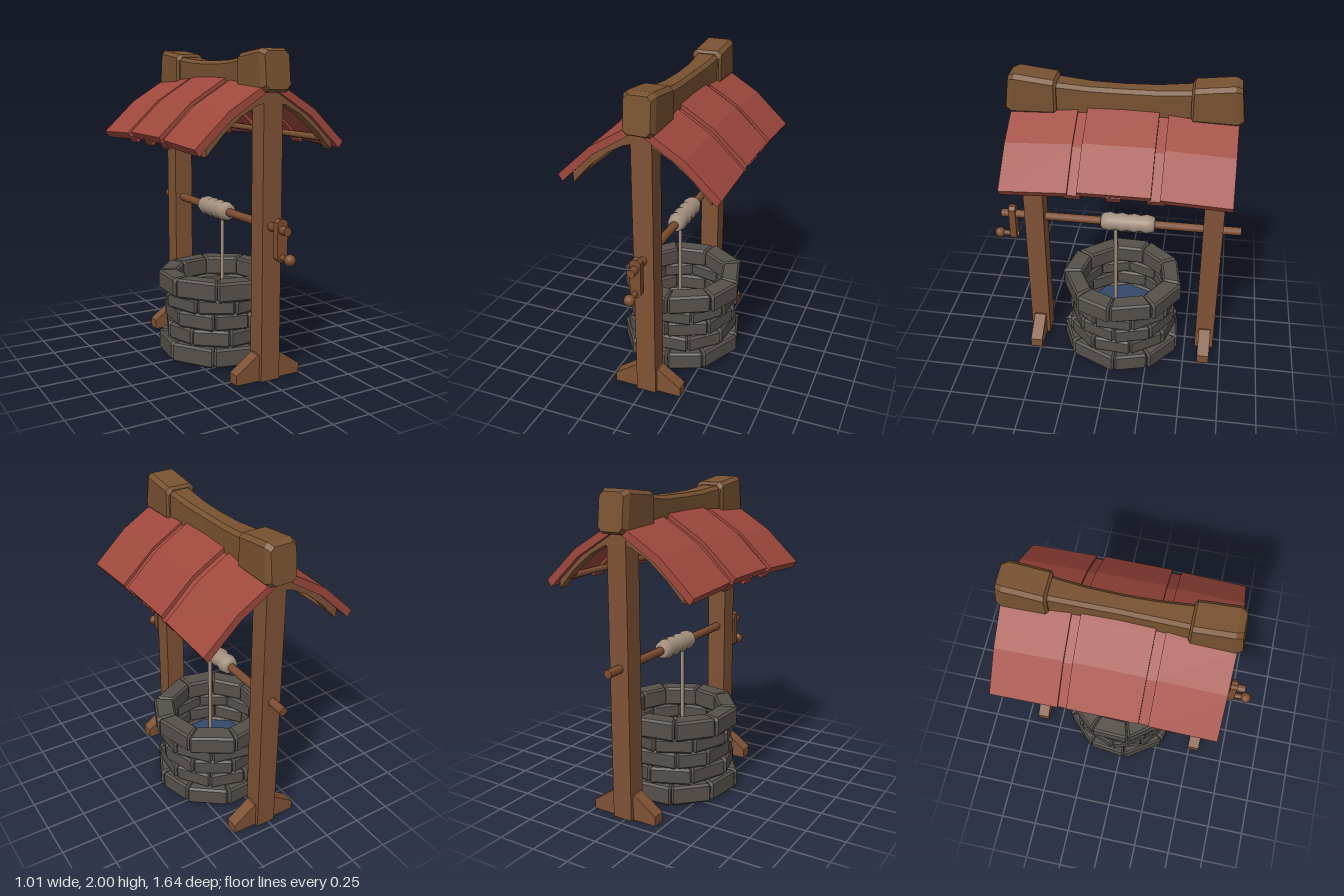
import * as THREE from 'three';

const mat = (name, color) => {
  const m = new THREE.MeshStandardMaterial({ color });
  m.name = name;
  return m;
};

// Chamfered rectangle, counter-clockwise, as [u, v] pairs
const oct = (cx, cy, w, h, c) => [
  [w, -h + c], [w, h - c], [w - c, h], [-w + c, h],
  [-w, h - c], [-w, -h + c], [-w + c, -h], [w - c, -h],
].map(([u, v]) => [cx + u, cy + v]);

// Faceted solid through a list of rings of 3D points, capped at both ends
function loft(rings) {
  const pos = [], n = rings[0].length, last = rings.length - 1;
  const tri = (...pts) => pts.forEach((p) => pos.push(...p));
  for (let i = 0; i < last; i++) {
    for (let j = 0; j < n; j++) {
      const k = (j + 1) % n;
      const a = rings[i][j], b = rings[i][k], c = rings[i + 1][k], d = rings[i + 1][j];
      tri(a, b, c);
      tri(a, c, d);
    }
  }
  for (let j = 1; j < n - 1; j++) {
    tri(rings[0][0], rings[0][j + 1], rings[0][j]);
    tri(rings[last][0], rings[last][j], rings[last][j + 1]);
  }
  const g = new THREE.BufferGeometry();
  g.setAttribute('position', new THREE.Float32BufferAttribute(pos, 3));
  g.computeVertexNormals();
  return g;
}

// Outline in x and y, extruded between two depths
function slab(points, z0, z1) {
  const shape = new THREE.Shape(points.map(([x, y]) => new THREE.Vector2(x, y)));
  return new THREE.ExtrudeGeometry(shape, { depth: z1 - z0, bevelEnabled: false }).translate(0, 0, z0);
}

// Rod along z
const rod = (r, z0, z1, x, y, sides = 12) =>
  new THREE.CylinderGeometry(r, r, z1 - z0, sides).rotateX(Math.PI / 2).translate(x, y, (z0 + z1) / 2);

export function createModel() {
  const wood = mat('wood', 0x7f5235);
  const ridgeWood = mat('ridge wood', 0x785231);
  const crankWood = mat('crank wood', 0x7d4d30);
  const red = mat('roof red', 0x9f483d);
  const stone = mat('stone', 0x57504b);
  const ropeTan = mat('rope', 0xa3907f);
  const blue = mat('water', 0x34496b);

  const model = new THREE.Group();
  model.name = 'well';
  const add = (name, geometry, material, parent = model) => {
    const m = new THREE.Mesh(geometry, material);
    m.name = name;
    parent.add(m);
    return m;
  };
  const group = (name) => {
    const g = new THREE.Group();
    g.name = name;
    model.add(g);
    return g;
  };
  let seed = 7;
  const rand = () => ((seed = (seed * 16807) % 2147483647) / 2147483647) - 0.5;
  const cx = 0.02;

  // Stone wall: five rings of chamfered blocks
  const wall = group('stoneWall');
  wall.position.set(cx, 0, -0.055);
  const rows = [
    [0.005, 0.132, 0.405, 0.1], [0.13, 0.24, 0.372, 0.42], [0.235, 0.345, 0.366, 0.05],
    [0.343, 0.442, 0.372, 0.4], [0.437, 0.565, 0.405, 0.04],
  ];
  const count = 9;
  rows.forEach(([y0, y1, outer, turn]) => {
    const seams = Array.from({ length: count }, (_, i) => turn + ((i + rand() * 0.2) / count) * Math.PI * 2);
    seams.push(seams[0] + Math.PI * 2);
    for (let i = 0; i < count; i++) {
      const r1 = outer + rand() * 0.016, r0 = 0.275;
      const ring = (a, s) => oct((r0 + r1) / 2, (y0 + y1) / 2, (r1 - r0) / 2 - s, (y1 - y0) / 2 - s, 0.014)
        .map(([r, y]) => [r * Math.cos(a), y, r * Math.sin(a)]);
      const a = seams[i], b = seams[i + 1];
      add('stoneBlock', loft([
        ring(a + 0.002, 0.012), ring(a + 0.04, 0), ring(b - 0.04, 0), ring(b - 0.002, 0.012),
      ]), stone, wall);
    }
  });

  // Water
  add('water', new THREE.CylinderGeometry(0.29, 0.29, 0.01, 24).translate(cx, 0.22, -0.055), blue);

  // Posts, feet and roof ribs at both ends
  const footShape = [[-0.225, 0], [0.225, 0], [0.225, 0.062], [0.075, 0.168], [-0.075, 0.168], [-0.225, 0.062]]
    .map(([x, y]) => [x + cx, y]);
  const ribLow = [[0.43, 1.4], [0.32, 1.52], [0.2, 1.62], [0.1, 1.675], [0, 1.705]];
  const ribTop = [[0, 1.79], [0.06, 1.77], [0.28, 1.625], [0.43, 1.47]];
  const half = [...ribLow.slice().reverse(), ...ribTop.slice().reverse()];
  const ribShape = [...half, ...half.slice(1, -1).reverse().map(([x, y]) => [-x, y])]
    .map(([x, y]) => [x + 0.01, y]);
  [['front', 0.53, 1], ['back', -0.636, -1]].forEach(([end, z, s]) => {
    add(end + 'Post', new THREE.BoxGeometry(0.13, 1.78, 0.127).translate(cx, 0.89, z), wood);
    add(end + 'Foot', slab(footShape, z - 0.04, z + 0.04), wood);
    const zr = z + s * 0.026;
    add(end + 'RoofRib', slab(ribShape, zr - 0.035, zr + 0.035), wood);
  });

  // Roof panels on both slopes, the outer ones dipping to the ends
  const roof = group('roof');
  const slope = (side, dy, short) => [
    [0.03, 1.82], [0.075, 1.798], [0.29, 1.667], [0.505 - short, 1.465],
    [0.478 - short, 1.425], [0.27, 1.622], [0.03, 1.775],
  ].map(([x, y]) => [side * x, y + dy]);
  const panels = [[0.215, 0.62, 0.004], [-0.268, 0.158, 0.014], [-0.733, -0.322, 0.004]];
  const battens = [[0.14, 0.235], [-0.095, -0.01], [-0.345, -0.245]];
  for (const side of [-1, 1]) {
    const name = side > 0 ? 'left' : 'right';
    panels.forEach(([z0, z1, dy]) => {
      const g = slab(slope(side, dy, 0), z0, z1);
      const p = g.attributes.position;
      for (let i = 0; i < p.count; i++) {
        const d = Math.max(0, Math.abs(p.getZ(i) + 0.055) - 0.27);
        p.setY(i, p.getY(i) - d * 0.05);
      }
      g.computeVertexNormals();
      add(name + 'RoofPanel', g, red, roof);
    });
    battens.forEach(([z0, z1]) => add(name + 'RoofBatten', slab(slope(side, -0.014, 0.01), z0, z1), red, roof));
    add(name + 'Purlin', rod(0.02, -0.66, 0.55, side * 0.385 + 0.01, 1.47, 8), wood, roof);
  }

  // Sagging ridge beam: [z, bottom, top, half width]
  const beam = (list, c) => loft(list.map(([z, y0, y1, w]) =>
    oct(0.018, (y0 + y1) / 2, w, (y1 - y0) / 2, c).map(([x, y]) => [x, y, z])));
  add('ridgeBeam', beam([
    [-0.5, 1.77, 1.955, 0.078], [-0.25, 1.75, 1.933, 0.066], [-0.055, 1.75, 1.93, 0.062],
    [0.14, 1.75, 1.933, 0.066], [0.39, 1.77, 1.955, 0.078],
  ], 0.022), ridgeWood);

  // Ridge end caps, with the outer end leaning out at the bottom
  for (const s of [-1, 1]) {
    const list = [[0.396, 1.775, 1.955, 0.085], [0.41, 1.757, 1.973, 0.098],
      [0.655, 1.75, 2.0, 0.098], [0.693, 1.768, 1.985, 0.082]]
      .map(([z, ...rest]) => [s * z - 0.055, ...rest]);
    if (s < 0) list.reverse();
    const g = beam(list, 0.024);
    const p = g.attributes.position;
    for (let i = 0; i < p.count; i++) {
      if (s * (p.getZ(i) + 0.055) > 0.6) p.setZ(i, p.getZ(i) + s * (1.88 - p.getY(i)) * 0.12);
    }
    g.computeVertexNormals();
    add(s > 0 ? 'frontRidgeCap' : 'backRidgeCap', g, ridgeWood);
  }

  // Axle and crank
  const ax = 0.016, ay = 0.965;
  add('axle', rod(0.027, -0.815, 0.765, ax, ay), crankWood);
  add('crankArm', loft([0.667, 0.711].map((z) =>
    oct(ax + 0.002, 0.902, 0.035, 0.127, 0.02).map(([x, y]) => [x, y, z]))), crankWood);
  add('crankHandle', rod(0.018, 0.655, 0.785, ax, 0.803), crankWood);
  add('crankKnob', new THREE.SphereGeometry(0.035, 16, 12).translate(ax, 0.803, 0.79), crankWood);

  // Rope coiled on the axle, and the hanging rope
  const coil = [new THREE.Vector2(0.02, -0.26), new THREE.Vector2(0.042, -0.26)];
  for (let i = 0; i <= 8; i++) coil.push(new THREE.Vector2(i % 2 ? 0.064 : 0.054, -0.245 + i * 0.0406));
  coil.push(new THREE.Vector2(0.042, 0.095), new THREE.Vector2(0.02, 0.095));
  add('ropeCoil', new THREE.LatheGeometry(coil, 14).rotateX(Math.PI / 2).translate(ax, ay, 0), ropeTan);
  add('hangingRope', new THREE.CylinderGeometry(0.013, 0.013, 0.74, 8).translate(ax, 0.59, 0), ropeTan);

  return model;
}
